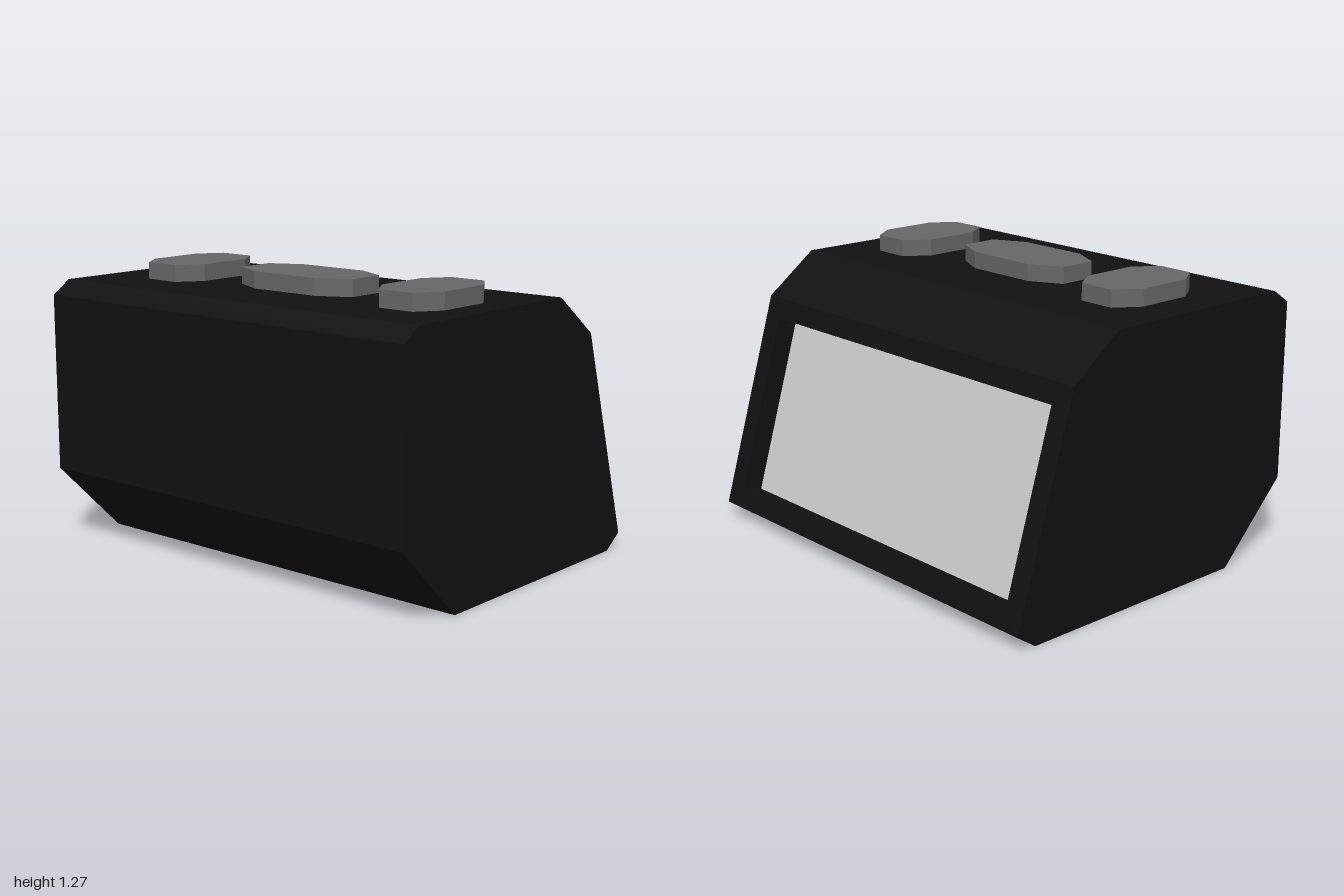
import * as THREE from 'three';

const mat = (color) => new THREE.MeshStandardMaterial({ color, flatShading: true });

// Flat-shaded mesh from polygons (convex, corners counter-clockwise from outside)
function polyMesh(name, polygons, material) {
  const pts = [];
  for (const p of polygons)
    for (let i = 1; i < p.length - 1; i++) pts.push(p[0], p[i], p[i + 1]);
  const geo = new THREE.BufferGeometry().setFromPoints(pts);
  geo.computeVertexNormals();
  const mesh = new THREE.Mesh(geo, material);
  mesh.name = name;
  return mesh;
}

// Quads joining one four-cornered loop to the next
const ring = (a, b) => a.map((_, k) => {
  const n = (k + 1) % 4;
  return [a[k], a[n], b[n], b[k]];
});

// Octagonal button: half sizes w, d with corners cut by cx, cz
function button(name, x, z, w, d, cx, cz, material) {
  const shape = new THREE.Shape([
    [w, d - cz], [w - cx, d], [cx - w, d], [-w, d - cz],
    [-w, cz - d], [cx - w, -d], [w - cx, -d], [w, cz - d],
  ].map(([a, b]) => new THREE.Vector2(a, b)));
  const geo = new THREE.ExtrudeGeometry(shape, { depth: 0.085, bevelEnabled: false });
  geo.rotateX(-Math.PI / 2);
  const mesh = new THREE.Mesh(geo, material);
  mesh.name = name;
  mesh.position.set(x, 1.19, z);
  return mesh;
}

export function createModel() {
  const group = new THREE.Group();
  const bodyMat = mat(0x111111), buttonMat = mat(0x666666), screenMat = mat(0xcccccc);

  // Side profile as [z, y], from the lower front edge up and over the back
  const profile = [[0.79, 0.34], [0.79, 1.14], [0.7, 1.2], [-0.26, 1.2],
    [-0.5, 1.02], [-0.79, 0.065], [-0.695, 0], [0.45, 0]];
  const side = (x) => profile.map(([z, y]) => new THREE.Vector3(x, y, z));
  const left = side(1), right = side(-1);

  // Casing: end caps plus one panel per profile edge, leaving the sloped face open
  const casing = [[...left].reverse(), right];
  const BACK = 4;
  let outer;
  profile.forEach((_, i) => {
    const n = (i + 1) % profile.length;
    const panel = [left[i], left[n], right[n], right[i]];
    if (i === BACK) outer = panel;
    else casing.push(panel);
  });

  // Screen frame and recess on the sloped face
  const slope = outer[1].clone().sub(outer[0]);
  const inward = new THREE.Vector3(0, slope.z, -slope.y).normalize();
  const opening = outer.map((c, k) => {
    const p = c.clone().addScaledVector(slope, k === 0 || k === 3 ? 0.093 : -0.093);
    p.x *= 0.905;
    return p;
  });
  const floor = opening.map((p) => p.clone().addScaledVector(inward, 0.1));
  casing.push(...ring(outer, opening), ...ring(opening, floor));

  group.add(polyMesh('casing', casing, bodyMat));
  group.add(polyMesh('screen', [floor], screenMat));

  // Buttons on the top
  group.add(button('rightButton', -0.65, 0.215, 0.16, 0.24, 0.075, 0.11, buttonMat));
  group.add(button('leftButton', 0.69, 0.215, 0.16, 0.24, 0.075, 0.11, buttonMat));
  group.add(button('middleButton', 0.018, 0.215, 0.32, 0.16, 0.147, 0.073, buttonMat));
  return group;
}
